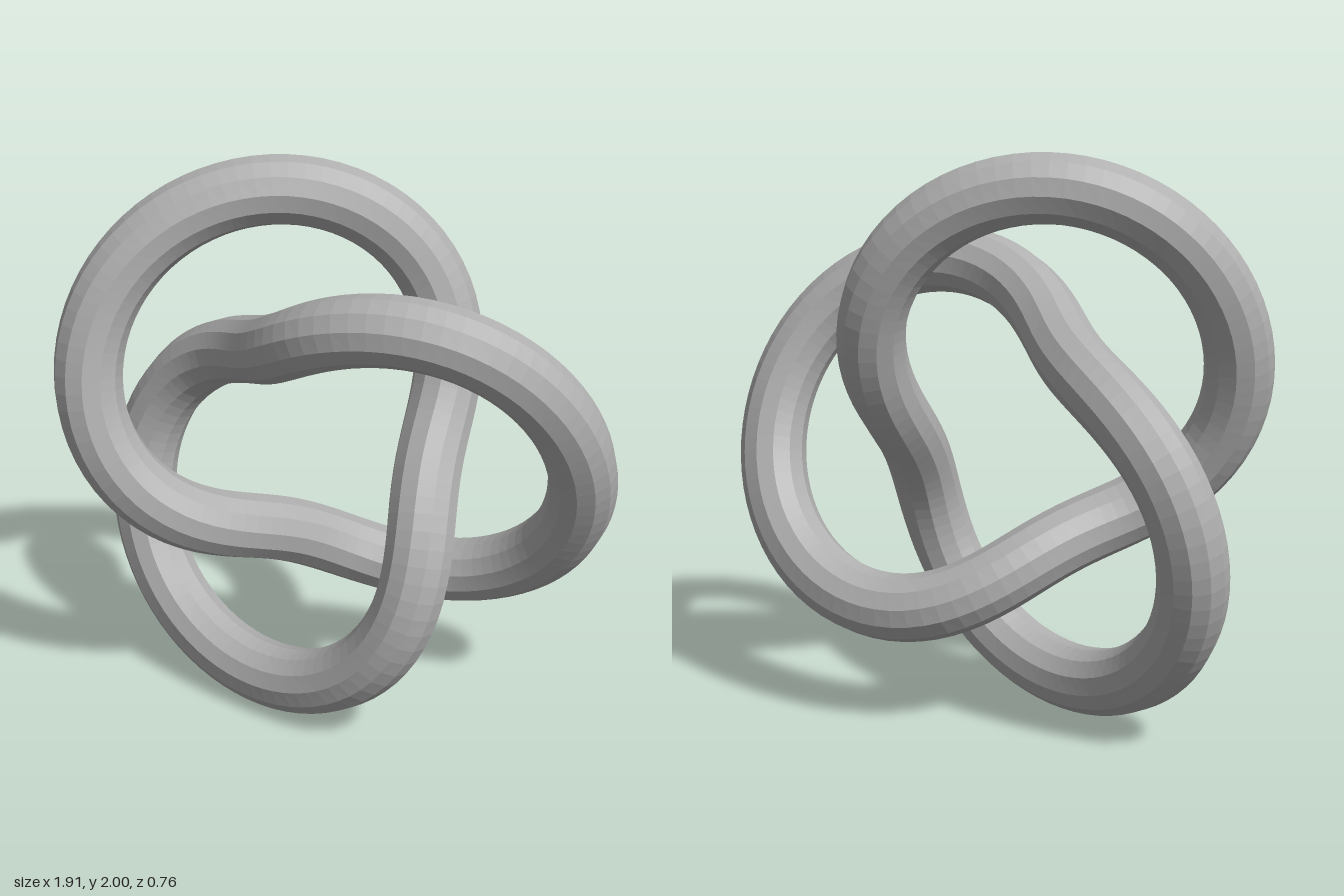
import * as THREE from 'three';

// Closed trefoil path: three half-twists around a torus over two turns
class TrefoilCurve extends THREE.Curve {
  constructor(major, minor) {
    super();
    this.major = major;
    this.minor = minor;
    this.arcLengthDivisions = 800;
  }

  getPoint(t, target = new THREE.Vector3()) {
    const turn = t * Math.PI * 4;
    const wind = turn * 1.5;
    const reach = this.major + this.minor * Math.cos(wind);
    return target.set(
      reach * Math.cos(turn),
      reach * Math.sin(turn),
      this.minor * Math.sin(wind)
    );
  }
}

export function createModel() {
  const group = new THREE.Group();
  group.name = 'trefoilKnot';

  const grey = new THREE.MeshStandardMaterial({ color: 0xb0b0b0, flatShading: true });
  grey.name = 'grey';

  // Faceted tube swept along the knot
  const path = new TrefoilCurve(0.664, 0.2656);
  const tube = new THREE.Mesh(new THREE.TubeGeometry(path, 192, 0.119, 12, true), grey);
  tube.name = 'knotTube';
  tube.position.set(-0.09, 1, 0);
  group.add(tube);

  return group;
}
